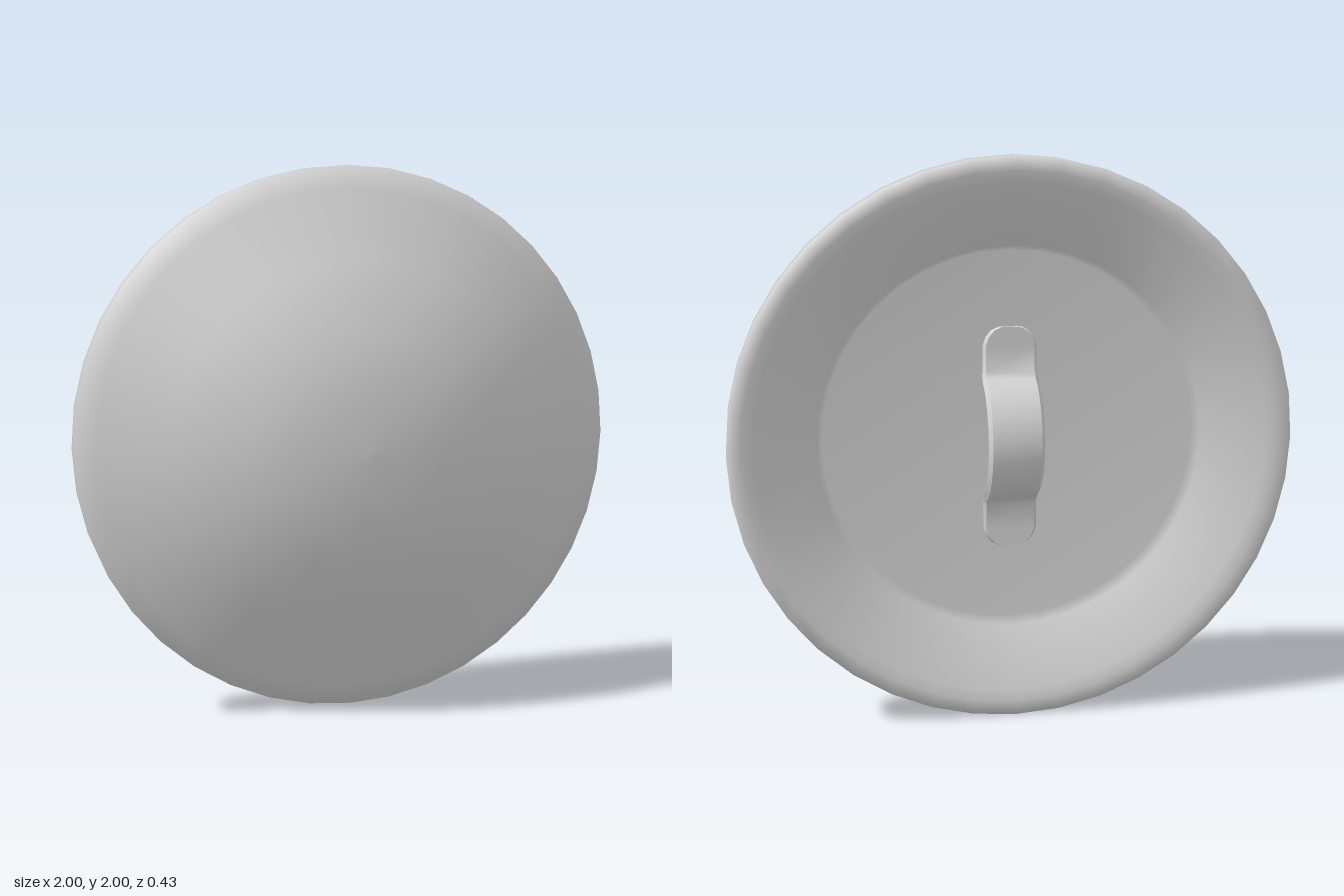
import * as THREE from 'three';
import { toCreasedNormals } from 'three/addons/utils/BufferGeometryUtils.js';

const FLOOR = -0.045; // depth of the recessed inner back face

// Strap: a four-sided section swept along a path of [y, z, halfWidth] stations
function strapGeometry(path, thickness) {
  const pos = [], idx = [];
  const n = path.length;
  path.forEach(([y, z, w], i) => {
    const a = path[Math.max(i - 1, 0)], b = path[Math.min(i + 1, n - 1)];
    const len = Math.hypot(b[0] - a[0], b[1] - a[1]);
    // inward normal of the path, pointing towards the disc
    const ny = -(b[1] - a[1]) / len, nz = (b[0] - a[0]) / len;
    const yi = y + ny * thickness, zi = z + nz * thickness;
    const wo = w - 0.013; // outer face slightly narrower
    pos.push(-w, yi, zi, w, yi, zi, wo, y, z, -wo, y, z);
  });
  for (let i = 0; i < n - 1; i++) {
    for (let k = 0; k < 4; k++) {
      const a = i * 4 + k, b = i * 4 + (k + 1) % 4;
      idx.push(a, b, b + 4, a, b + 4, a + 4);
    }
  }
  const e = (n - 1) * 4;
  idx.push(0, 2, 1, 0, 3, 2, e, e + 1, e + 2, e, e + 2, e + 3); // end caps
  const g = new THREE.BufferGeometry();
  g.setAttribute('position', new THREE.Float32BufferAttribute(pos, 3));
  g.setIndex(idx);
  return toCreasedNormals(g, 0.9);
}

export function createModel() {
  const group = new THREE.Group();
  const grey = new THREE.MeshStandardMaterial({ color: 0xd5d5d5 });
  grey.name = 'grey';

  // Domed disc as [radius, z]: recessed floor, lip, back wall, rim and front
  const profile = [
    [0, FLOOR], [0.67, FLOOR], [0.69, -0.095], [0.91, -0.178], [0.95, -0.19], [1, -0.19],
    [1, -0.105], [0.92, -0.092], [0.67, 0.06], [0.43, 0.155], [0.27, 0.195],
    [0.12, 0.211], [0, 0.215],
  ].map(([r, z]) => new THREE.Vector2(r, z));
  const disc = new THREE.Mesh(new THREE.LatheGeometry(profile, 40).rotateX(Math.PI / 2), grey);
  disc.name = 'disc';
  disc.position.y = 1;
  group.add(disc);

  // Grip: arched strap with a rounded foot at each end
  const foot = [
    [0.4, 0.045], [0.388, 0.07], [0.365, 0.09], [0.335, 0.1], [0.24, 0.1],
  ].map(([y, w]) => [y, FLOOR - 0.015, w]);
  const radius = 0.248, half = 1.12, arch = [];
  for (let i = 0; i <= 12; i++) {
    const t = -half + (2 * half * i) / 12;
    arch.push([radius * Math.sin(t), -0.217 + radius * (1 - Math.cos(t)), 0.1]);
  }
  const lowerFoot = foot.map(([y, z, w]) => [-y, z, w]);
  const grip = new THREE.Mesh(
    strapGeometry([...lowerFoot, ...arch, ...foot.reverse()], 0.02), grey);
  grip.name = 'grip';
  grip.position.y = 1;
  group.add(grip);

  return group;
}
